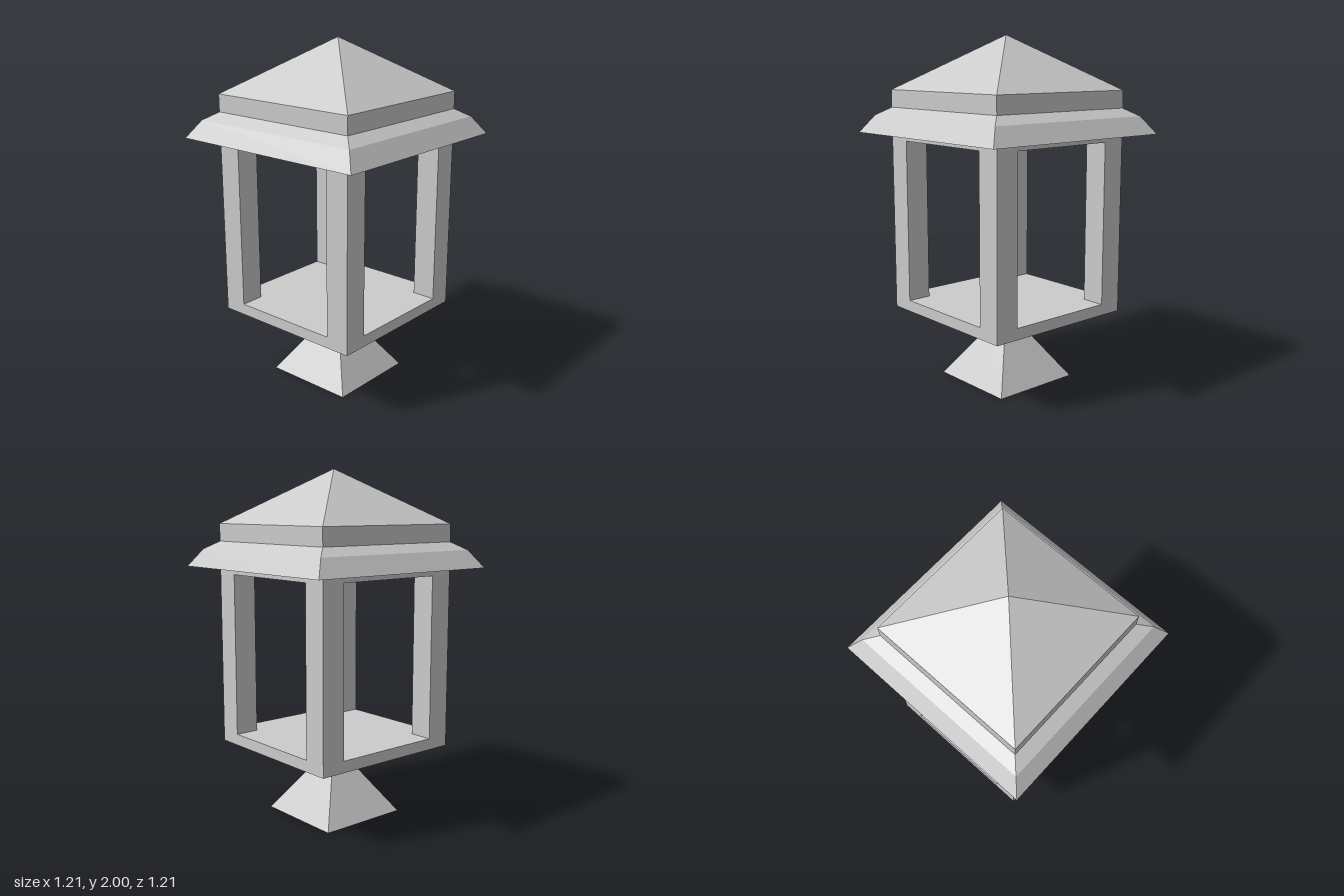
import * as THREE from 'three';

const material = new THREE.MeshStandardMaterial({ color: 0xcccccc, flatShading: true });

// Square-plan solid: profile of [half width, height] points, swept around four sides
function squareSolid(name, profile) {
  const points = profile.map(([half, y]) => new THREE.Vector2(half * Math.SQRT2, y));
  const mesh = new THREE.Mesh(new THREE.LatheGeometry(points, 4, Math.PI / 4), material);
  mesh.name = name;
  return mesh;
}

export function createModel() {
  const group = new THREE.Group();
  group.name = 'lantern';

  const body = 0.465;     // half width of the lantern body
  const opening = 0.325;  // half width of the window openings
  const sill = 0.475;
  const head = 1.41;

  // Flared foot
  group.add(squareSolid('foot', [[0, 0], [0.27, 0], [0.1, 0.255]]));

  // Sloping basin with a solid floor
  group.add(squareSolid('basin', [[0.1, 0.255], [body, 0.41]]));
  group.add(squareSolid('floor', [[body, 0.41], [body, sill], [0, sill]]));

  // Four square corner posts
  const width = body - opening;
  const offset = (body + opening) / 2;
  const postGeometry = new THREE.BoxGeometry(width, head - sill, width);
  for (const x of [-1, 1]) {
    for (const z of [-1, 1]) {
      const post = new THREE.Mesh(postGeometry, material);
      post.name = `${z > 0 ? 'front' : 'back'}${x > 0 ? 'Left' : 'Right'}Post`;
      post.position.set(x * offset, (sill + head) / 2, z * offset);
      group.add(post);
    }
  }

  // Header beams around a recessed ceiling
  group.add(squareSolid('header', [
    [0, 1.57], [opening, 1.57], [opening, head], [body, head], [body, 1.45],
  ]));

  // Two-pitch eave with a flat underside
  group.add(squareSolid('eave', [[body, 1.45], [0.603, 1.45], [0.535, 1.55], [body, 1.595]]));

  // Upper band and pyramid roof
  group.add(squareSolid('roofBand', [[body, 1.595], [body, 1.695]]));
  group.add(squareSolid('roof', [[body, 1.695], [0, 2]]));

  return group;
}
